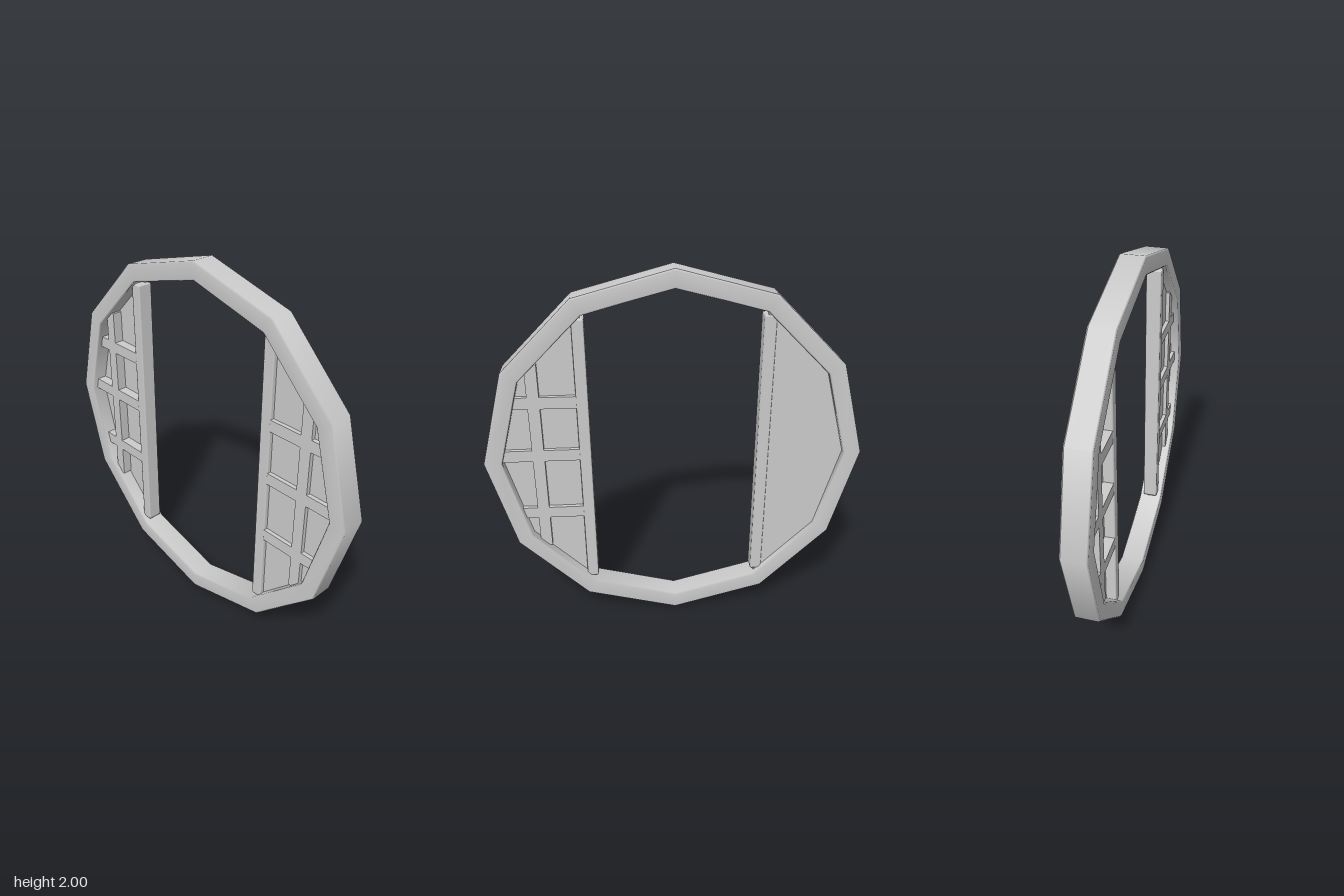
import * as THREE from 'three';
import { RoundedBoxGeometry } from 'three/addons/geometries/RoundedBoxGeometry.js';

const material = new THREE.MeshStandardMaterial({ color: 0xcccccc });

function add(parent, name, geometry, x = 0, y = 0, z = 0) {
  const mesh = new THREE.Mesh(geometry, material);
  mesh.name = name;
  mesh.position.set(x, y, z);
  parent.add(mesh);
  return mesh;
}

// Twelve-sided ring: closed profile of radius and depth, lightly chamfered
function ringGeometry() {
  const outer = 1, inner = 0.905, d = 0.067, c = 0.008;
  const profile = [
    [outer, -d + c], [outer, d - c], [outer - c, d], [inner + c, d],
    [inner, d - c], [inner, -d + c], [inner + c, -d], [outer - c, -d], [outer, -d + c],
  ].map(([r, z]) => new THREE.Vector2(r, z));
  return new THREE.LatheGeometry(profile, 12).rotateX(Math.PI / 2);
}

// Side panel: sheet filling the ring segment, edge post and lattice bars
function sidePanel(side, name, sheetZ, barZ) {
  const panel = new THREE.Group();
  panel.name = name;

  const outline = [[0.46, 0.775], [0.795, 0.46], [0.918, 0], [0.795, -0.46], [0.46, -0.775]];
  const shape = new THREE.Shape(outline.map(([x, y]) => new THREE.Vector2(side * x, y)));
  add(panel, 'panelSheet', new THREE.ExtrudeGeometry(shape,
    { depth: sheetZ[1] - sheetZ[0], bevelEnabled: false }), 0, 0, sheetZ[0]);

  add(panel, 'edgePost', new RoundedBoxGeometry(0.063, 1.52, 0.084, 1, 0.008), side * 0.4715);

  const depth = barZ[1] - barZ[0], z = (barZ[0] + barZ[1]) / 2;
  add(panel, 'uprightBar', new THREE.BoxGeometry(0.062, 1.07, depth), side * 0.718, 0, z);

  // Crossbars run from the post into the ring
  for (const y of [0.328, 0.028, -0.322]) {
    const start = 0.48, end = 0.93 - 0.268 * Math.abs(y);
    add(panel, 'crossbar', new THREE.BoxGeometry(end - start, 0.064, depth),
      side * (start + end) / 2, y, z);
  }
  return panel;
}

export function createModel() {
  const model = new THREE.Group();
  model.name = 'ringWithSidePanels';
  const body = new THREE.Group();
  body.name = 'body';
  body.position.y = 1;
  model.add(body);

  add(body, 'ring', ringGeometry());
  // The left sheet sits mid-depth; the right one closes the back
  body.add(sidePanel(1, 'leftPanel', [-0.018, 0.018], [-0.04, 0.04]));
  body.add(sidePanel(-1, 'rightPanel', [-0.036, -0.014], [-0.03, 0.04]));
  return model;
}
